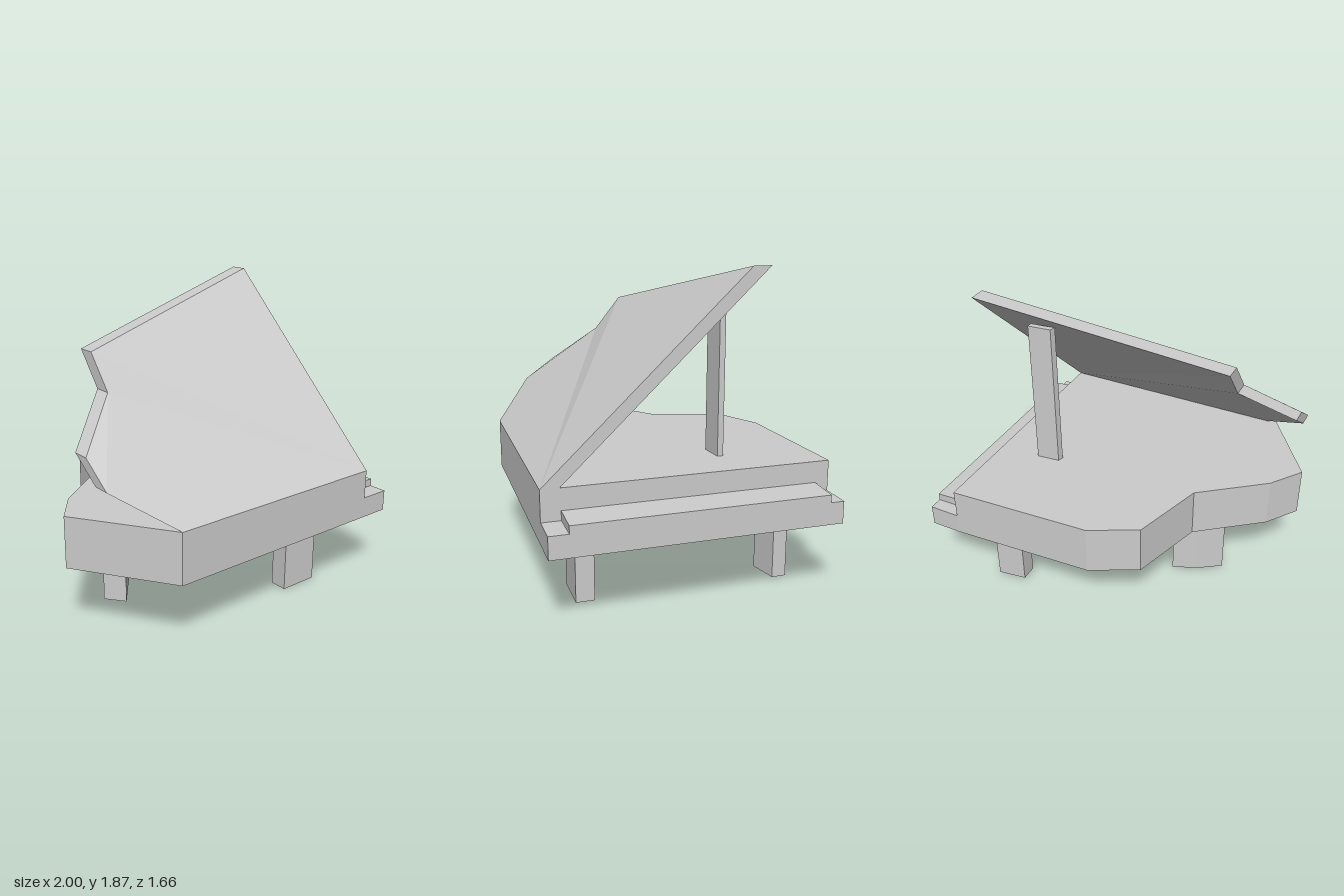
import * as THREE from 'three';

const material = new THREE.MeshStandardMaterial({ color: 0xcccccc, flatShading: true });

function extrude(points, depth) {
  const shape = new THREE.Shape(points.map(([a, b]) => new THREE.Vector2(a, b)));
  return new THREE.ExtrudeGeometry(shape, { depth, bevelEnabled: false });
}

// Upright prism from a plan outline of [x, z] corners
function prism(outline, y0, y1) {
  return extrude(outline.map(([x, z]) => [x, -z]), y1 - y0)
    .rotateX(-Math.PI / 2)
    .translate(0, y0, 0);
}

// Tilted lid: outline of [x, y, z] corners, given thickness along z
function tiltedSlab(corners, thickness) {
  const geometry = extrude(corners, thickness);
  const pos = geometry.attributes.position;
  for (let i = 0; i < pos.count; i++) {
    const corner = corners.find(([x, y]) =>
      Math.hypot(x - pos.getX(i), y - pos.getY(i)) < 0.001);
    pos.setZ(i, corner[2] + pos.getZ(i) - thickness);
  }
  geometry.computeVertexNormals();
  return geometry;
}

export function createModel() {
  const group = new THREE.Group();
  const add = (name, geometry) => {
    const mesh = new THREE.Mesh(geometry, material);
    mesh.name = name;
    group.add(mesh);
  };

  // Case with the curved bent side
  add('case', prism([
    [0.81, 0.83], [-0.62, 0.83], [-1, 0.28], [-0.86, 0.09],
    [-0.48, -0.2], [-0.34, -0.64], [-0.06, -0.78], [0.81, -0.83],
  ], 0.45, 0.76));

  // Keyboard shelf and the slightly sloping keys
  add('keyBed', prism([[0.81, 0.83], [1, 0.83], [1, -0.83], [0.81, -0.83]], 0.45, 0.58));
  add('keys', extrude([[0.81, 0.58], [1, 0.58], [1, 0.625], [0.81, 0.635]], 1.47)
    .translate(0, 0, -0.75));

  // Raised lid, hinged along the front edge of the case
  add('lid', tiltedSlab([
    [0.81, 0.76, 0.83], [0.81, 1.865, -0.33], [-0.62, 1.555, 0], [-0.62, 1.355, 0.16],
    [-0.92, 1.11, 0.4], [-0.92, 0.975, 0.59], [-0.62, 0.76, 0.83],
  ], 0.105));

  // Lid prop
  add('lidProp', prism([[0.55, -0.29], [0.55, -0.255], [0.4, -0.24], [0.41, -0.275]], 0.75, 1.68));

  // Three legs
  add('frontLeg', prism([[0.365, 0.61], [0.615, 0.61], [0.615, 0.5], [0.365, 0.5]], 0, 0.46));
  add('backLeg', prism([[0.675, -0.655], [0.675, -0.57], [0.5, -0.53], [0.5, -0.63]], 0.015, 0.46));
  add('tailLeg', prism([[-0.52, 0.15], [-0.32, -0.11], [-0.46, -0.06], [-0.61, 0.04]], 0.015, 0.46));

  return group;
}
